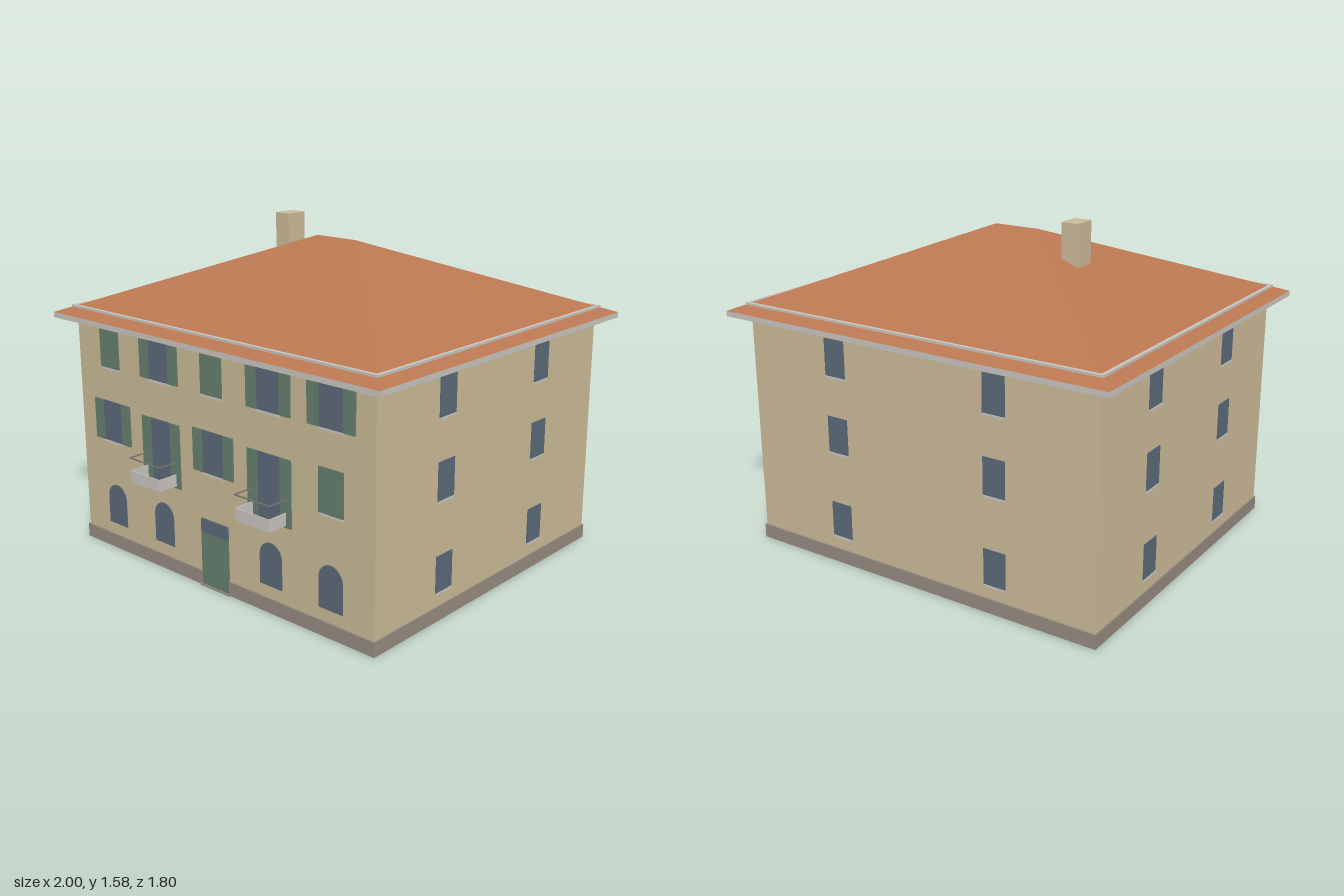
import * as THREE from 'three';

const mat = (name, color, side = THREE.FrontSide) => {
  const m = new THREE.MeshStandardMaterial({ color, side });
  m.name = name;
  return m;
};

export function createModel() {
  const wallMat = mat('sand plaster', 0xcaba97);
  const roofMat = mat('terracotta', 0xb97751, THREE.DoubleSide);
  const plinthMat = mat('grey stone', 0x958a7e);
  const trimMat = mat('pale trim', 0xc9c5bf);
  const glassMat = mat('blue glass', 0x5a6978);
  const shutterMat = mat('green paint', 0x647f6e);
  const ironMat = mat('dark iron', 0x77756f);

  const CZ = -0.013;           // centre of the house in depth
  const HX = 0.92, HZ = 0.805; // half size of the walls

  const house = new THREE.Group();
  house.name = 'house';

  function add(parent, name, geo, material, x = 0, y = 0, z = 0) {
    const mesh = new THREE.Mesh(geo, material);
    mesh.name = name;
    mesh.position.set(x, y, z);
    parent.add(mesh);
    return mesh;
  }
  // box given by its centre in x, its bottom and top, and its range in z
  function box(parent, name, material, x, w, y0, y1, z0, z1) {
    return add(parent, name, new THREE.BoxGeometry(w, y1 - y0, z1 - z0), material,
      x, (y0 + y1) / 2, (z0 + z1) / 2);
  }
  // horizontal rectangular frame
  function frame(name, material, ox, oz, ix, iz, y0, y1) {
    const rect = (P, a, b) => {
      const p = new P();
      p.moveTo(-a, -b); p.lineTo(a, -b); p.lineTo(a, b); p.lineTo(-a, b); p.closePath();
      return p;
    };
    const s = rect(THREE.Shape, ox, oz);
    s.holes.push(rect(THREE.Path, ix, iz));
    const g = new THREE.ExtrudeGeometry(s, { depth: y1 - y0, bevelEnabled: false });
    g.rotateX(-Math.PI / 2);
    return add(house, name, g, material, 0, y0, CZ);
  }

  // shell of the building, open at the bottom
  frame('walls', wallMat, HX, HZ, HX - 0.004, HZ - 0.004, 0, 1.121);
  frame('plinth', plinthMat, HX + 0.006, HZ + 0.008, HX, HZ, 0, 0.067);
  frame('eaves', trimMat, 1, 0.885, HX - 0.004, HZ - 0.004, 1.12, 1.145);
  frame('snowRail', trimMat, 0.938, 0.823, 0.922, 0.807, 1.165, 1.181);

  // hipped roof with a short ridge
  const c = [[-1, 1.145, 0.885], [1, 1.145, 0.885], [1, 1.145, -0.885], [-1, 1.145, -0.885]];
  const L = [-0.115, 1.5, 0], R = [0.115, 1.5, 0];
  const tris = [c[0], c[1], R, c[0], R, L, c[1], c[2], R, c[2], c[3], L, c[2], L, R, c[3], c[0], L];
  const roofGeo = new THREE.BufferGeometry();
  roofGeo.setAttribute('position', new THREE.Float32BufferAttribute(tris.flat(), 3));
  roofGeo.computeVertexNormals();
  add(house, 'roof', roofGeo, roofMat, 0, 0, CZ);

  box(house, 'chimney', wallMat, -0.368, 0.085, 1.37, 1.577, -0.148, -0.037);

  // one group per facade; its local z = 0 is the wall surface
  function facade(name, x, z, angle) {
    const g = new THREE.Group();
    g.name = name;
    g.position.set(x, 0, z);
    g.rotation.y = angle;
    house.add(g);
    return g;
  }
  const front = facade('frontFacade', 0, CZ + HZ, 0);
  const back = facade('backFacade', 0, CZ - HZ, Math.PI);
  const left = facade('leftFacade', HX, CZ, Math.PI / 2);
  const right = facade('rightFacade', -HX, CZ, -Math.PI / 2);

  function sill(f, x, y, w) {
    box(f, 'windowSill', trimMat, x, w, y - 0.01, y, 0, 0.007);
  }

  // plain windows on the sides and back
  for (const [f, dx] of [[back, 0.425], [left, 0.35], [right, 0.35]]) {
    for (const x of [-dx, dx]) {
      for (const [y0, y1] of [[0.132, 0.3], [0.548, 0.72], [0.912, 1.086]]) {
        box(f, 'windowPane', glassMat, x, 0.111, y0, y1, 0, 0.004);
        sill(f, x, y0, 0.111);
      }
    }
  }

  // front windows with open or closed shutters
  function shuttered(x, y0, y1, open) {
    if (open) {
      box(front, 'windowPane', glassMat, x, 0.13, y0, y1, 0, 0.004);
      for (const s of [-1, 1])
        box(front, 'openShutter', shutterMat, x + s * 0.0965, 0.063, y0, y1, 0, 0.006);
    } else {
      box(front, 'closedShutter', shutterMat, x, 0.132, y0, y1, 0, 0.006);
    }
  }
  const columns = [-0.69, -0.345, 0, 0.342, 0.69];
  columns.forEach((x, i) => {
    shuttered(x, 0.91, 1.11, i % 2 === 1 || i === 4);
    sill(front, x, 0.91, 0.132);
    if (i % 2 === 0) {
      shuttered(x, 0.547, 0.745, i !== 4);
      sill(front, x, 0.547, 0.132);
    } else {
      shuttered(x, 0.424, 0.728, true);
      balcony(x);
    }
  });

  // shallow balcony: three parapet panels and a thin handrail
  function balcony(x) {
    const w = 0.2, d = 0.107, t = 0.004;
    box(front, 'balconyPanel', trimMat, x, w, 0.435, 0.492, d - t, d);
    box(front, 'balconyHandrail', ironMat, x, w + 0.01, 0.548, 0.553, d - 0.005, d);
    for (const s of [-1, 1]) {
      box(front, 'balconySidePanel', trimMat, x + s * (w - t) / 2, t, 0.435, 0.492, 0, d - t);
      box(front, 'balconySideRail', ironMat, x + s * (w + 0.005) / 2, 0.005, 0.548, 0.553, 0, d - 0.005);
    }
  }

  // arched ground floor windows, set through the wall
  const arch = new THREE.Shape();
  arch.moveTo(-0.065, 0.125);
  arch.lineTo(0.065, 0.125);
  arch.lineTo(0.065, 0.262);
  arch.absarc(0, 0.262, 0.065, 0, Math.PI, false);
  arch.closePath();
  const archGeo = new THREE.ExtrudeGeometry(arch, { depth: 0.0095, bevelEnabled: false, curveSegments: 6 });
  for (const x of [-0.687, -0.345, 0.345, 0.687])
    add(front, 'archedWindow', archGeo, glassMat, x, 0, -0.0055);

  // entrance
  box(front, 'frontDoor', shutterMat, 0, 0.17, 0.008, 0.264, 0, 0.0095);
  box(front, 'doorFanlight', glassMat, 0, 0.17, 0.264, 0.326, 0, 0.0095);
  box(front, 'doorstep', plinthMat, 0, 0.19, 0, 0.008, 0, 0.016);

  return house;
}
